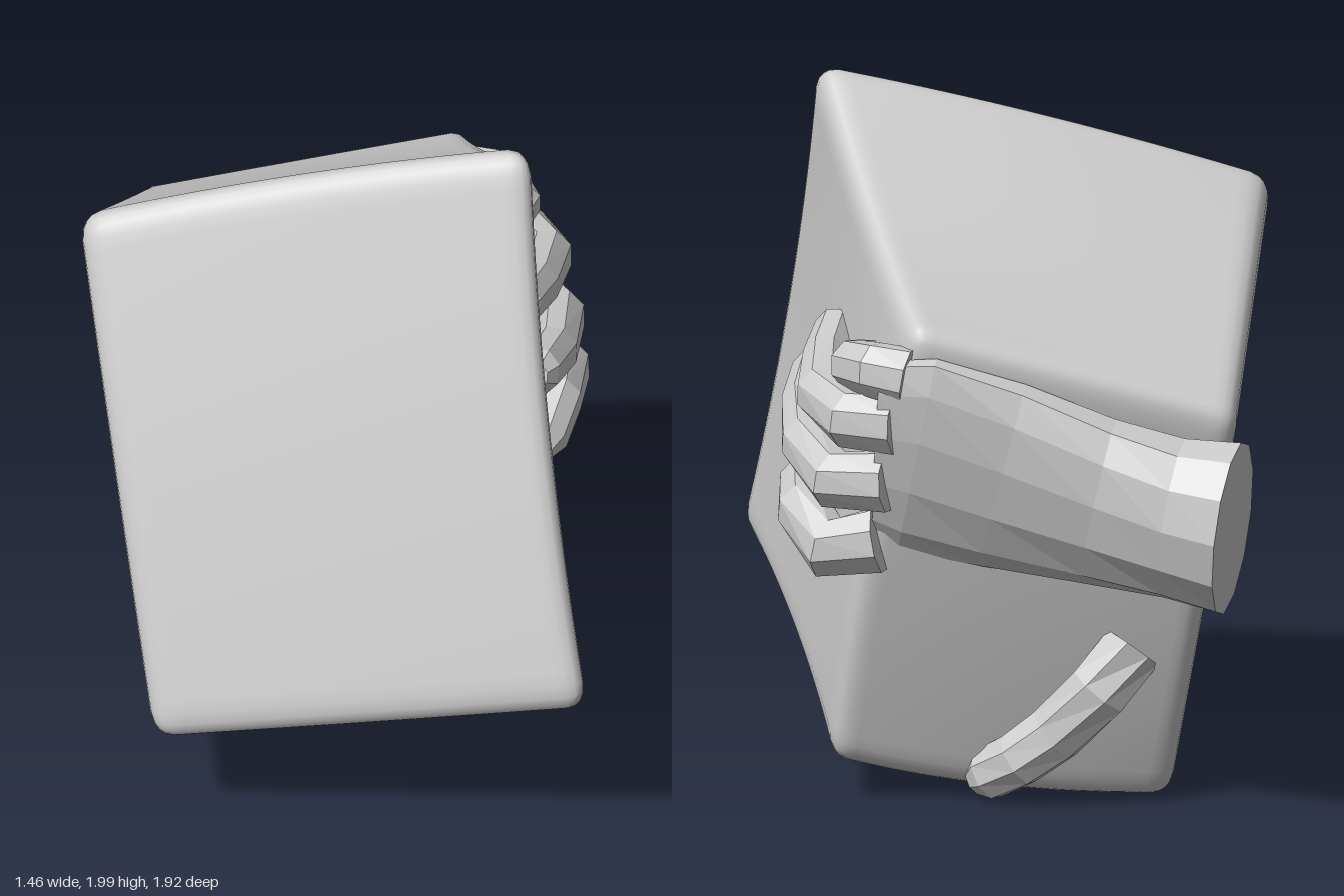
import * as THREE from 'three';
import { mergeVertices } from 'three/addons/utils/BufferGeometryUtils.js';

const V = (a) => new THREE.Vector3(a[0], a[1], a[2]);

// Loft through sections [x, y, z, halfHeight, halfThickness], closed at both ends
function loft(sections, sides, up) {
  const pos = [], idx = [];
  const n = sections.length;
  const put = (p) => pos.push(p.x, p.y, p.z);
  sections.forEach((s, i) => {
    const c = V(s);
    const t = V(sections[Math.min(i + 1, n - 1)]).sub(V(sections[Math.max(i - 1, 0)])).normalize();
    const u = V(up).addScaledVector(t, -V(up).dot(t)).normalize();
    const v = new THREE.Vector3().crossVectors(t, u);
    for (let j = 0; j < sides; j++) {
      const a = ((j + 0.5) / sides) * Math.PI * 2;
      put(c.clone().addScaledVector(u, Math.cos(a) * s[3]).addScaledVector(v, Math.sin(a) * s[4]));
    }
  });
  put(V(sections[0]));
  put(V(sections[n - 1]));
  for (let j = 0; j < sides; j++) {
    const k = (j + 1) % sides;
    for (let i = 0; i < n - 1; i++) {
      const a = i * sides + j, b = i * sides + k;
      idx.push(a, b, b + sides, a, b + sides, a + sides);
    }
    idx.push(n * sides, k, j, n * sides + 1, (n - 1) * sides + j, (n - 1) * sides + k);
  }
  const g = new THREE.BufferGeometry();
  g.setAttribute('position', new THREE.Float32BufferAttribute(pos, 3));
  g.setIndex(idx);
  g.computeVertexNormals();
  return g;
}

// Finger: tapered path with a blunt tip
function fingerGeometry(path, r) {
  const n = path.length;
  const secs = path.map((p, i) => {
    const k = r * (1 - 0.22 * i / (n - 1));
    return [...p, k, k * 0.9];
  });
  const end = V(path[n - 1]), dir = end.clone().sub(V(path[n - 2])).normalize();
  const tip = end.addScaledVector(dir, r * 0.5);
  secs.push([tip.x, tip.y, tip.z, r * 0.45, r * 0.42]);
  return loft(secs, 8, [0, 1, 0.1]);
}

// Rounded block warped between eight corners
function blockGeometry() {
  const corners = { // bottom/top, back/front, -x/+x
    '000': [-0.39, 0.0, -0.32], '001': [0.58, 0.13, -0.29],
    '010': [-0.55, 0.31, 0.79], '011': [0.7, 0.51, 0.99],
    '100': [-0.54, 1.23, -0.72], '101': [0.38, 1.48, -0.62],
    '110': [-0.75, 1.71, 0.2], '111': [0.55, 2.04, 0.39],
  };
  let g = new THREE.BoxGeometry(2, 2, 2, 40, 40, 40);
  g.deleteAttribute('normal');
  g.deleteAttribute('uv');
  g = mergeVertices(g);
  const p = g.attributes.position, r = 0.1;
  const q = new THREE.Vector3(), inner = new THREE.Vector3(), out = new THREE.Vector3();
  const w = (bit, t) => (bit === '1' ? (1 + t) / 2 : (1 - t) / 2);
  for (let i = 0; i < p.count; i++) {
    q.fromBufferAttribute(p, i);
    inner.copy(q).clampScalar(-1 + r, 1 - r);
    q.sub(inner).normalize().multiplyScalar(r).add(inner);
    const { x, y, z } = q;
    const bx = 1 - x * x, by = 1 - y * y, bz = 1 - z * z;
    // top: raised front edge, sagging right edge; bottom: sagging back edge
    if (y > 0) q.y += y * (0.03 * bx * (1 + z) / 2 - 0.05 * bz * (1 + x) / 2);
    else q.y += y * 0.06 * bx * (1 - z) / 2;
    // right side: hollow towards the front and bottom, full towards the back
    if (x > 0) q.x -= x * (0.05 * z * by + 0.05 * bz * (1 - y) / 2);
    // gently swollen front and left half of the back
    q.z += z * by * (z > 0 ? 0.03 : 0.05 * (1 - x) / 2);
    out.set(0, 0, 0);
    for (const [key, c] of Object.entries(corners)) {
      out.addScaledVector(V(c), w(key[0], q.y) * w(key[1], q.z) * w(key[2], q.x));
    }
    p.setXYZ(i, out.x, Math.max(0, out.y), out.z);
  }
  g.computeVertexNormals();
  return g;
}

export function createModel() {
  const model = new THREE.Group();
  model.name = 'handHoldingBlock';
  const smooth = new THREE.MeshStandardMaterial({ color: 0xcccccc });
  const faceted = new THREE.MeshStandardMaterial({ color: 0xcccccc, flatShading: true });
  const add = (parent, name, geometry, material) => {
    const m = new THREE.Mesh(geometry, material);
    m.name = name;
    parent.add(m);
  };

  add(model, 'block', blockGeometry(), smooth);

  const hand = new THREE.Group();
  hand.name = 'hand';
  model.add(hand);

  // Wrist and palm along the back of the block
  add(hand, 'palm', loft([
    [-0.52, 0.91, -0.75, 0.265, 0.22],
    [-0.36, 0.93, -0.69, 0.25, 0.19],
    [-0.15, 0.97, -0.63, 0.27, 0.15],
    [0.12, 1.04, -0.57, 0.31, 0.12],
    [0.36, 1.1, -0.54, 0.33, 0.08],
    [0.47, 1.11, -0.51, 0.3, 0.06],
  ], 12, [0, 0.95, -0.31]), faceted);

  // Fingers wrapped round the right side, top to bottom: [radius, path]
  const fingers = {
    littleFinger: [0.088, [[0.39, 1.34, -0.59], [0.48, 1.355, -0.55], [0.53, 1.34, -0.43], [0.48, 1.32, -0.33]]],
    ringFinger: [0.092, [[0.42, 1.2, -0.57], [0.55, 1.2, -0.5], [0.61, 1.23, -0.32], [0.57, 1.27, -0.1], [0.52, 1.31, 0.07]]],
    middleFinger: [0.092, [[0.44, 1.02, -0.53], [0.59, 1.01, -0.45], [0.645, 1.07, -0.25], [0.62, 1.11, 0], [0.57, 1.16, 0.19]]],
    indexFinger: [0.098, [[0.46, 0.83, -0.46], [0.6, 0.8, -0.41], [0.655, 0.88, -0.28], [0.63, 0.9, -0.08], [0.59, 0.84, 0.03]]],
  };
  for (const [name, [radius, path]] of Object.entries(fingers)) {
    add(hand, name, fingerGeometry(path, radius), faceted);
  }

  // Thumb reaching under the lower back edge
  add(hand, 'thumb', fingerGeometry(
    [[-0.26, 0.49, -0.44], [-0.17, 0.37, -0.47], [-0.05, 0.23, -0.41], [0.05, 0.15, -0.38], [0.13, 0.09, -0.31]], 0.1), faceted);

  return model;
}
